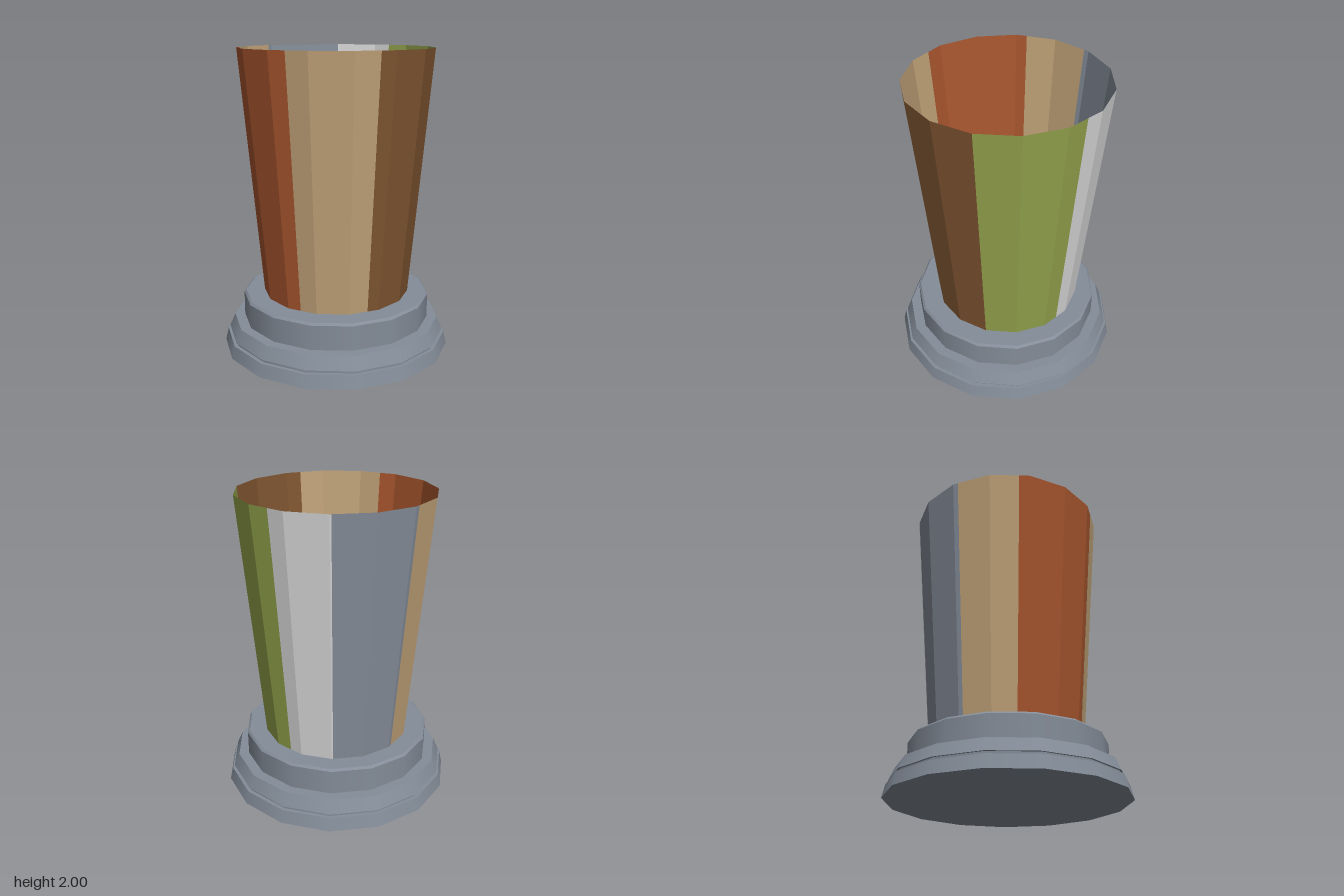
import * as THREE from 'three';

const SIDES = 15;
const CX = -0.009; // an odd-sided ring is centred by its extents
const CZ = -0.012; // the cup sits slightly towards the back

function material(name, color, side = THREE.FrontSide) {
  const m = new THREE.MeshStandardMaterial({ color, side });
  m.name = name;
  return m;
}

// Point on the faceted ring; s counts sides, starting at +x and turning towards +z
function ringPoint(s, radius, y) {
  const i = Math.floor(s), t = s - i, step = (Math.PI * 2) / SIDES;
  const mix = (f) => radius * (f(i * step) * (1 - t) + f((i + 1) * step) * t);
  return [CX + mix(Math.cos), y, CZ + mix(Math.sin)];
}

// Flat-faceted piece of the tapered wall between two positions on the ring
function wallPanel(from, to) {
  const cuts = [from];
  for (let i = Math.floor(from) + 1; i < to; i++) cuts.push(i);
  cuts.push(to);
  const pos = [];
  for (let k = 0; k < cuts.length - 1; k++) {
    const a = ringPoint(cuts[k], 0.493, 0.36), b = ringPoint(cuts[k + 1], 0.493, 0.36);
    const c = ringPoint(cuts[k + 1], 0.636, 2), d = ringPoint(cuts[k], 0.636, 2);
    pos.push(...a, ...d, ...c, ...a, ...c, ...b);
  }
  const g = new THREE.BufferGeometry();
  g.setAttribute('position', new THREE.Float32BufferAttribute(pos, 3));
  g.computeVertexNormals();
  return g;
}

export function createModel() {
  const model = new THREE.Group();
  model.name = 'taperedCup';
  const slate = material('slate', 0x848d99, THREE.DoubleSide);
  const green = material('green', 0x91a14b, THREE.DoubleSide);
  const brown = material('brown', 0x7f5531, THREE.DoubleSide);
  const tan = material('tan', 0xc0a278, THREE.DoubleSide);
  const rust = material('rust', 0xa8562e, THREE.DoubleSide);
  const paleGrey = material('paleGrey', 0xd6d6d6, THREE.DoubleSide);

  const add = (parent, name, geometry, mat) => {
    const mesh = new THREE.Mesh(geometry, mat);
    mesh.name = name;
    parent.add(mesh);
    return mesh;
  };

  // Stepped foot: [name, bottom y, top y, bottom radius, top radius]
  const base = new THREE.Group();
  base.name = 'base';
  model.add(base);
  const tiers = [
    ['footPlinth', 0, 0.085, 0.77, 0.75],
    ['footGroove', 0.085, 0.105, 0.725, 0.725],
    ['footStep', 0.105, 0.19, 0.738, 0.7],
    ['collar', 0.19, 0.352, 0.632, 0.632],
    ['collarBevel', 0.352, 0.366, 0.632, 0.618],
  ];
  for (const [name, y0, y1, r0, r1] of tiers) {
    const g = new THREE.CylinderGeometry(r1, r0, y1 - y0, SIDES);
    g.rotateY(Math.PI / 2);
    add(base, name, g, slate).position.set(CX, (y0 + y1) / 2, 0);
  }

  // Open wall made of coloured panels
  const wall = new THREE.Group();
  wall.name = 'cupWall';
  model.add(wall);
  const edges = [0, 2.38, 4.56, 7.27, 8.87, 10.96, 12.45, 15];
  [brown, tan, rust, tan, slate, paleGrey, green].forEach((mat, i) => {
    add(wall, 'wallPanel' + (i + 1), wallPanel(edges[i], edges[i + 1]), mat);
  });

  // Floor inside the cup with an off-centre round patch
  const disc = (name, radius, x, y, z, mat) => {
    const g = new THREE.CircleGeometry(radius, SIDES);
    g.rotateX(-Math.PI / 2);
    add(model, name, g, mat).position.set(x, y, z);
  };
  disc('cupFloor', 0.488, CX, 0.372, -0.008, green);
  disc('floorPatch', 0.34, -0.055, 0.378, 0, brown);
  return model;
}
